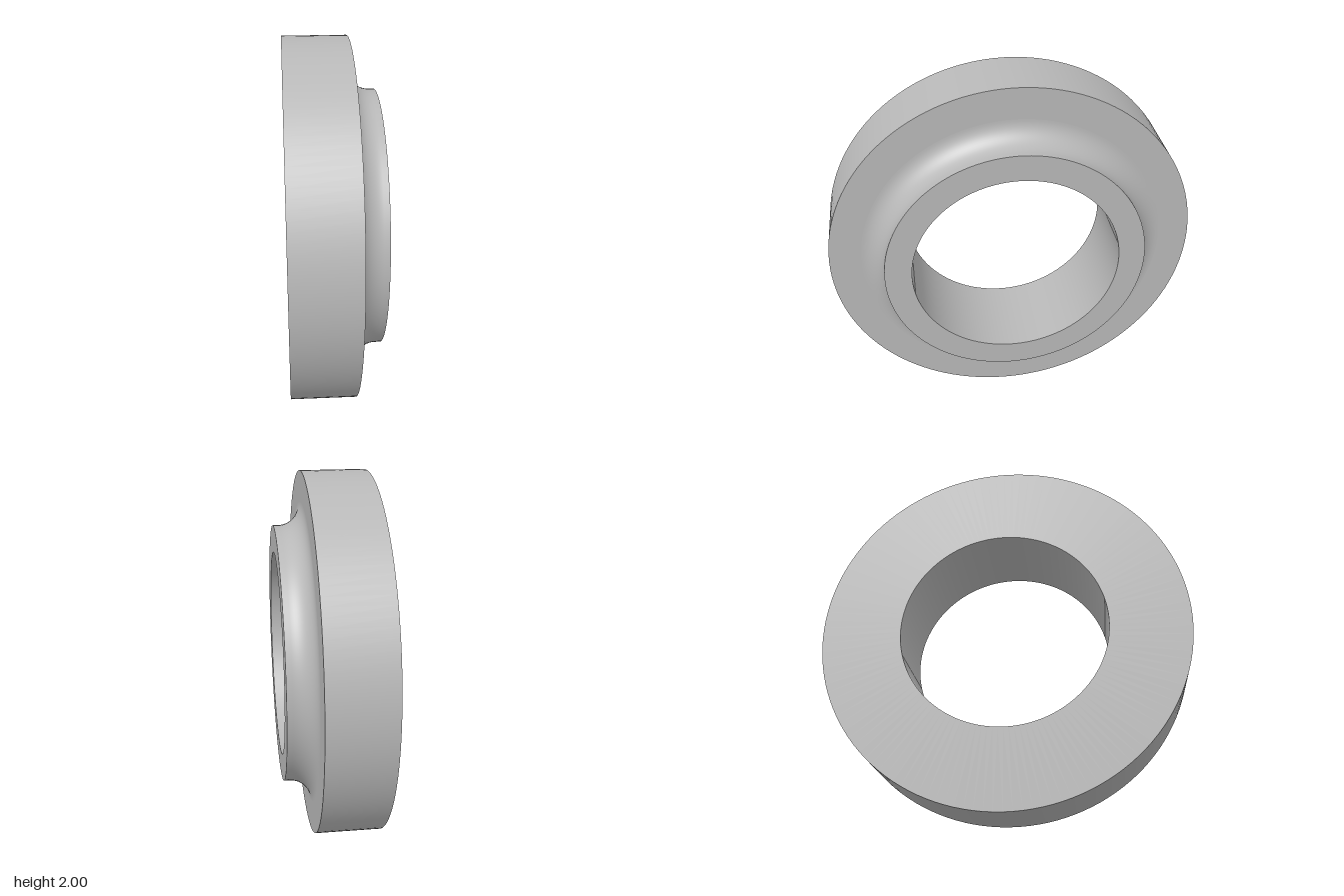
import * as THREE from 'three';

const SEGMENTS = 128;

export function createModel() {
  const group = new THREE.Group();
  group.name = 'flangedRing';
  const grey = new THREE.MeshStandardMaterial({ color: 0xb8b8b8 });
  grey.name = 'grey';

  // Key radii and positions along the axis
  const outer = 1, neck = 0.71, bore = 0.565;
  const back = -0.25, step = 0.1, front = 0.25, fillet = 0.12;

  // Revolves [radius, x] points about the x axis; separate sections keep edges sharp
  const revolve = (name, points) => {
    const geometry = new THREE.LatheGeometry(points.map(([r, x]) => new THREE.Vector2(r, x)), SEGMENTS);
    geometry.rotateZ(-Math.PI / 2);
    const mesh = new THREE.Mesh(geometry, grey);
    mesh.name = name;
    mesh.position.y = 1;
    group.add(mesh);
  };

  // Concave fillet from the flange face into the neck
  const neckProfile = [];
  for (let i = 0; i <= 16; i++) {
    const a = (i / 16) * Math.PI / 2;
    neckProfile.push([neck + fillet * (1 - Math.sin(a)), step + fillet * (1 - Math.cos(a))]);
  }
  neckProfile.push([neck, front]);

  revolve('flangeRim', [[outer, back], [outer, step]]);
  revolve('flangeFace', [[outer, step], [neck + fillet, step]]);
  revolve('neckFillet', neckProfile);
  revolve('neckFace', [[neck, front], [bore, front]]);
  revolve('bore', [[bore, front], [bore, back]]);
  revolve('backFace', [[bore, back], [outer, back]]);

  return group;
}
